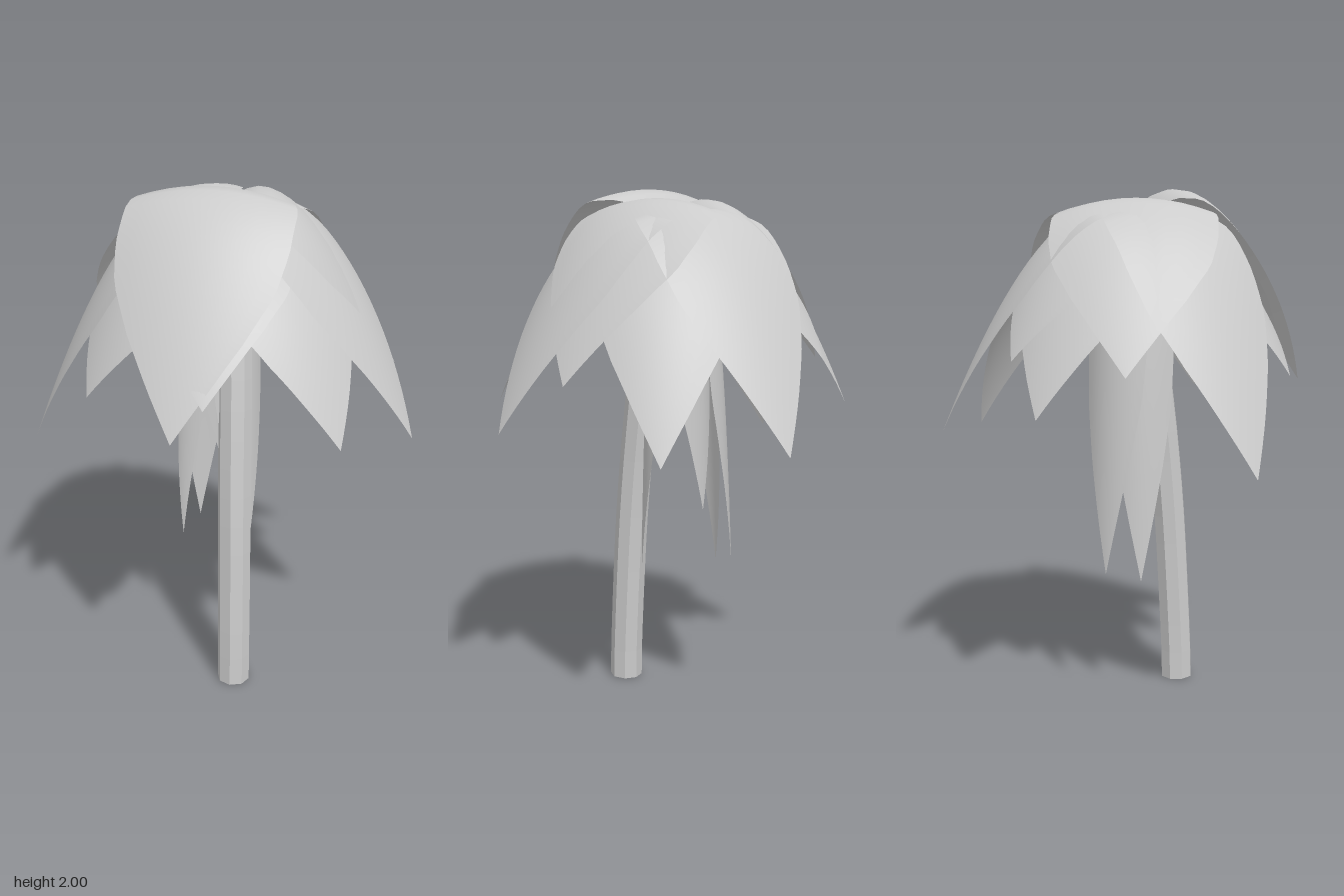
import * as THREE from 'three';

const HUB = { x: -0.01, z: 0.03 };
const material = new THREE.MeshStandardMaterial({ color: 0xcccccc, side: THREE.DoubleSide });
const barkMaterial = new THREE.MeshStandardMaterial({ color: 0xcccccc, flatShading: true });

// Half-width along a leaf: rounded lobes at the base, pointed tip
const WIDTH = [[0, 0.15], [0.06, 0.6], [0.14, 0.95], [0.22, 1], [0.38, 1], [0.52, 0.92], [0.68, 0.66], [0.84, 0.34], [1, 0]];
function widthAt(t) {
  let i = 1;
  while (i < WIDTH.length - 1 && WIDTH[i][0] < t) i++;
  const [t0, w0] = WIDTH[i - 1], [t1, w1] = WIDTH[i];
  return w0 + (w1 - w0) * (t - t0) / (t1 - t0);
}

// Leaf that rises from the hub to its peak, then arches down to the tip
function makeLeaf(name, [tx, ty, tz], { peak, half, curl, power, rise }) {
  const dx = tx - HUB.x, dz = tz - HUB.z, reach = Math.hypot(dx, dz);
  const out = new THREE.Vector3(dx / reach, 0, dz / reach);
  const side = new THREE.Vector3(out.z, 0, -out.x);
  const spine = [];
  for (let i = 0; i <= 40; i++) {
    const s = i / 40, r = 1 - (1 - s) ** 1.5;
    const y = r < 0.2
      ? peak - rise * (1 - r / 0.2) ** 2
      : peak - (peak - ty) * ((r - 0.2) / 0.8) ** power;
    spine.push(new THREE.Vector3(HUB.x + dx * r, y, HUB.z + dz * r));
  }
  const curve = new THREE.CatmullRomCurve3(spine);
  const rows = 22, cols = 10, positions = [], index = [];
  for (let i = 0; i <= rows; i++) {
    const t = i / rows;
    const p = curve.getPointAt(t), tangent = curve.getTangentAt(t);
    const normal = new THREE.Vector3().crossVectors(tangent, side).normalize();
    for (let j = 0; j <= cols; j++) {
      const w = half * widthAt(t) * (j / cols * 2 - 1);
      const v = p.clone().addScaledVector(side, w).addScaledVector(normal, -curl * w * w);
      positions.push(v.x, v.y, v.z);
      if (i < rows && j < cols) {
        const a = i * (cols + 1) + j, b = a + cols + 1;
        index.push(a, b, a + 1, b, b + 1, a + 1);
      }
    }
  }
  const geometry = new THREE.BufferGeometry();
  geometry.setAttribute('position', new THREE.Float32BufferAttribute(positions, 3));
  geometry.setIndex(index);
  geometry.computeVertexNormals();
  const mesh = new THREE.Mesh(geometry, material);
  mesh.name = name;
  return mesh;
}

// Leaf layers: shared shape, then one tip position per leaf
const LAYERS = [
  { name: 'topLeaf', shape: { peak: 1.96, half: 0.31, curl: 0.65, power: 1.75, rise: 0.06 },
    tips: [[0.63, 1.3, -0.1], [-0.58, 1.33, -0.21]] },
  { name: 'middleLeaf', shape: { peak: 1.93, half: 0.28, curl: 0.7, power: 1.75, rise: 0.04 },
    tips: [[0.13, 1.07, -0.72], [-0.73, 0.98, 0.22], [0.73, 1.11, 0.16]] },
  { name: 'lowerLeaf', shape: { peak: 1.88, half: 0.28, curl: 0.9, power: 1.95, rise: 0.03 },
    tips: [[0.52, 1.05, -0.49], [-0.44, 1.18, -0.49], [0.51, 1.18, 0.48],
      [-0.4, 1.3, 0.5], [-0.25, 1.37, -0.53], [0.07, 1.36, 0.67]] },
  { name: 'hangingLeaf', shape: { peak: 1.8, half: 0.13, curl: 2.5, power: 4, rise: 0.02 },
    tips: [[-0.2, 0.5, -0.02], [-0.16, 0.53, -0.15], [0.1, 0.5, 0.1], [-0.04, 0.75, -0.11]] },
];

export function createModel() {
  const tree = new THREE.Group();
  tree.name = 'palmTree';

  // Leaning eight-sided trunk
  const path = new THREE.CatmullRomCurve3([
    [0.075, 0, 0.235], [0.075, 0.1, 0.233], [0.073, 0.4, 0.217], [0.069, 0.7, 0.197],
    [0.063, 1, 0.167], [0.055, 1.3, 0.127], [0.035, 1.6, 0.08], [0, 1.85, 0.03],
  ].map(p => new THREE.Vector3(...p)));
  const trunk = new THREE.Mesh(new THREE.TubeGeometry(path, 16, 0.065, 8), barkMaterial);
  trunk.name = 'trunk';
  tree.add(trunk);

  // Crown, with the highest leaf arching over the front
  const crown = new THREE.Group();
  crown.name = 'crown';
  crown.add(makeLeaf('frontLeaf', [-0.03, 1.25, 0.72],
    { peak: 2, half: 0.31, curl: 0.6, power: 1.7, rise: 0.09 }));
  for (const { name, shape, tips } of LAYERS) {
    tips.forEach((tip, i) => crown.add(makeLeaf(name + (i + 1), tip, shape)));
  }
  tree.add(crown);
  return tree;
}
